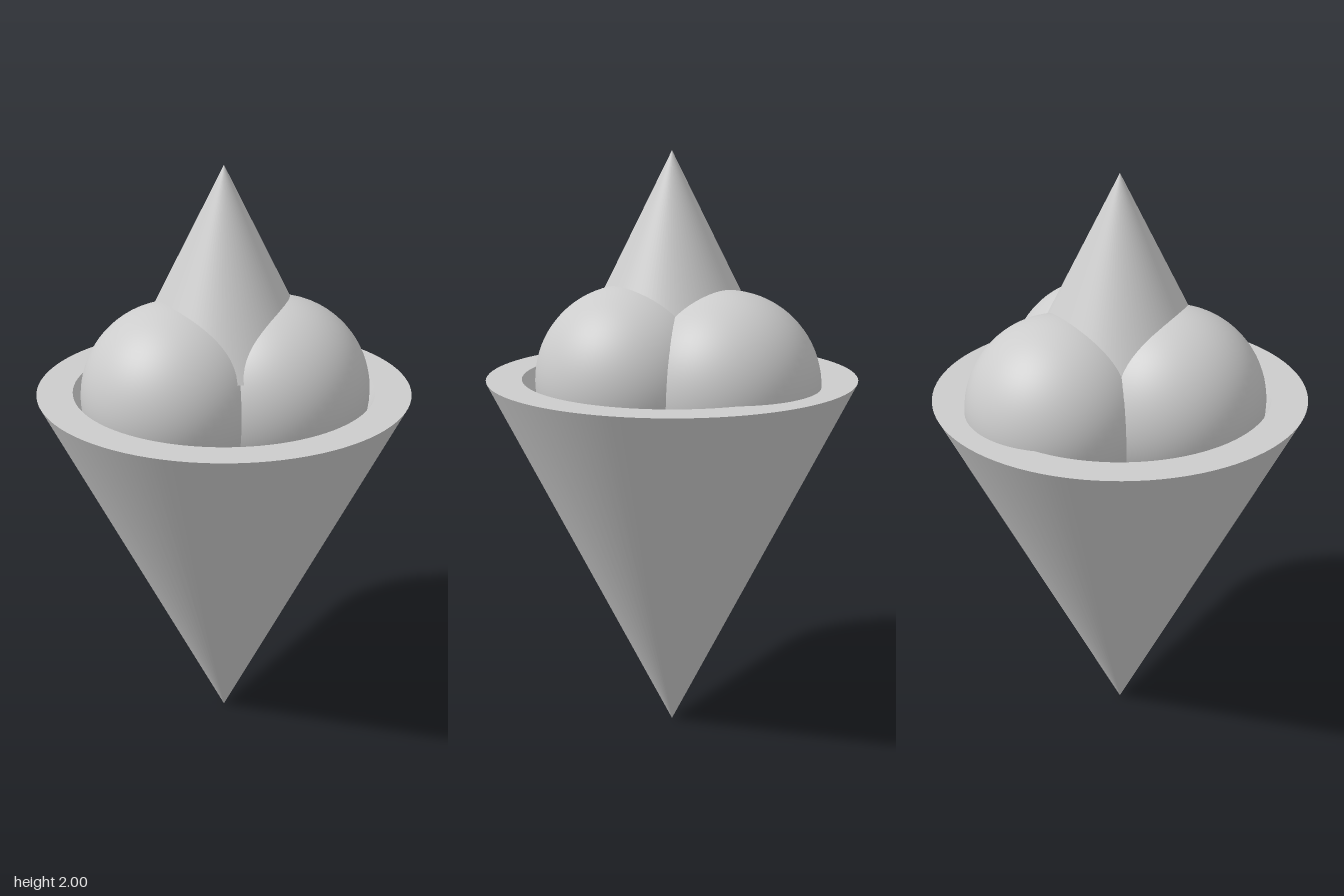
import * as THREE from 'three';

export function createModel() {
  const group = new THREE.Group();
  const grey = new THREE.MeshStandardMaterial({ color: 0xcccccc });
  grey.name = 'light grey';

  const add = (name, geometry, x = 0, y = 0, z = 0) => {
    const mesh = new THREE.Mesh(geometry, grey);
    mesh.name = name;
    mesh.position.set(x, y, z);
    group.add(mesh);
  };

  // A straight profile section spun about y; separate sections keep edges sharp
  const spin = (r1, y1, r2, y2) => new THREE.LatheGeometry(
    [new THREE.Vector2(r1, y1), new THREE.Vector2(r2, y2)], 96);

  // Hollow cone standing on its tip
  const height = 1.25, outer = 0.625, inner = 0.505;
  add('coneOutside', spin(0, 0, outer, height));
  add('coneRim', spin(outer, height, inner, height));
  add('coneInside', spin(inner, height, 0, 0.24));

  // Three overlapping scoops
  const scoop = new THREE.SphereGeometry(0.3125, 64, 40);
  add('scoopBack', scoop, 0.005, 1.25, -0.232);
  add('scoopRight', scoop, -0.16, 1.262, 0.094);
  add('scoopLeft', scoop, 0.17, 1.262, 0.04);

  // Half-size cone on top, point up
  add('topCone', new THREE.ConeGeometry(0.3125, 0.625, 96), 0, 1.6875, 0);

  return group;
}
